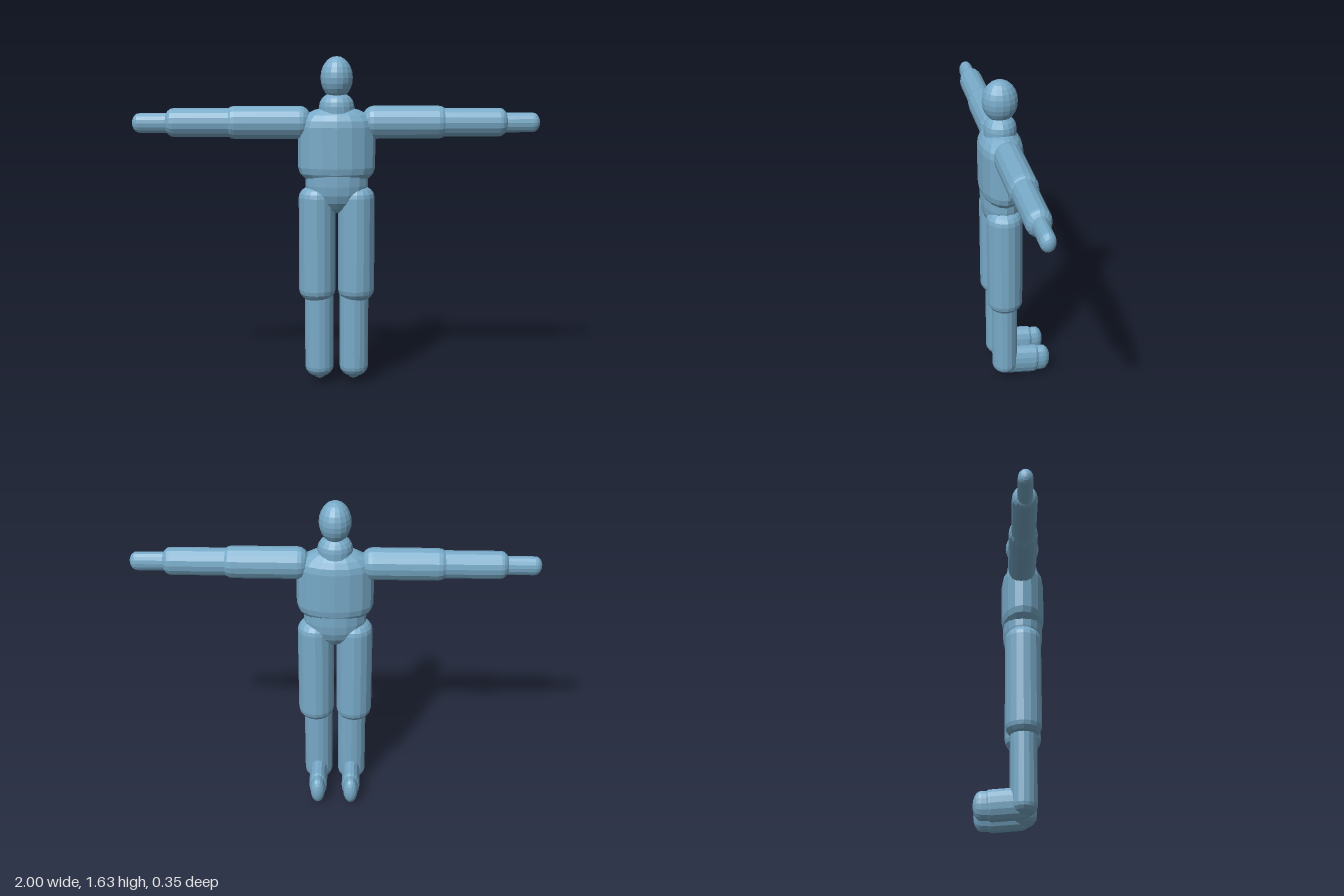
import * as THREE from 'three';

const skin = new THREE.MeshStandardMaterial({ color: 0x78aac8, flatShading: true });
skin.name = 'blue';

const UP = new THREE.Vector3(0, 1, 0);
const Z = 0.067; // depth of the body axis

// Rounded limb between two end points: elliptical section (rx, rz), domes of the given heights
function limb(name, from, to, rx, rz, capStart, capEnd = capStart, sides = 16) {
  const a = new THREE.Vector3(...from);
  const axis = new THREE.Vector3(...to).sub(a);
  const length = axis.length();
  const profile = [];
  const steps = 5;
  for (let i = 0; i <= steps; i++) {
    const t = (i / steps) * Math.PI / 2;
    profile.push(new THREE.Vector2(Math.sin(t), capStart * (1 - Math.cos(t))));
  }
  for (let i = 0; i <= steps; i++) {
    const t = (i / steps) * Math.PI / 2;
    profile.push(new THREE.Vector2(i === steps ? 0 : Math.cos(t), length - capEnd * (1 - Math.sin(t))));
  }
  const geometry = new THREE.LatheGeometry(profile, sides);
  geometry.scale(rx, 1, rz);
  const mesh = new THREE.Mesh(geometry, skin);
  mesh.name = name;
  mesh.position.copy(a);
  mesh.quaternion.setFromUnitVectors(UP, axis.normalize());
  return mesh;
}

export function createModel() {
  const model = new THREE.Group();
  model.name = 'figure';

  // Head
  const headGeometry = new THREE.SphereGeometry(1, 16, 12);
  headGeometry.scale(0.079, 0.104, 0.087);
  const head = new THREE.Mesh(headGeometry, skin);
  head.name = 'head';
  head.position.set(0, 1.538, Z);
  model.add(head);

  // Neck and torso
  model.add(
    limb('neck', [0, 1.28, Z], [0, 1.47, Z], 0.086, 0.08, 0.07),
    limb('chest', [0, 1.0, Z], [0, 1.4, Z], 0.19, 0.108, 0.1),
    limb('pelvis', [0, 0.87, Z], [0, 1.16, Z], 0.155, 0.1, 0.14, 0.06)
  );

  // Arms, legs and feet, mirrored
  for (const [side, s] of [['left', 1], ['right', -1]]) {
    const arm = new THREE.Group();
    arm.name = side + 'Arm';
    arm.add(
      limb('upperArm', [s * 0.12, 1.32, 0.062], [s * 0.56, 1.32, 0.062], 0.081, 0.071, 0.06),
      limb('forearm', [s * 0.45, 1.32, 0.064], [s * 0.845, 1.32, 0.064], 0.07, 0.06, 0.045),
      limb('hand', [s * 0.75, 1.318, 0.064], [s * 1.0, 1.318, 0.064], 0.048, 0.036, 0.035)
    );
    const leg = new THREE.Group();
    leg.name = side + 'Leg';
    leg.add(
      limb('thigh', [s * 0.097, 0.42, Z], [s * 0.097, 1.015, Z], 0.091, 0.09, 0.065),
      limb('shin', [s * 0.087, 0.035, Z], [s * 0.087, 0.55, Z], 0.072, 0.066, 0.055),
      limb('foot', [s * 0.086, 0.105, 0.11], [s * 0.086, 0.086, -0.12], 0.047, 0.081, 0.06, 0.03),
      limb('toes', [s * 0.086, 0.088, -0.02], [s * 0.086, 0.088, -0.174], 0.038, 0.074, 0.04)
    );
    model.add(arm, leg);
  }
  return model;
}
